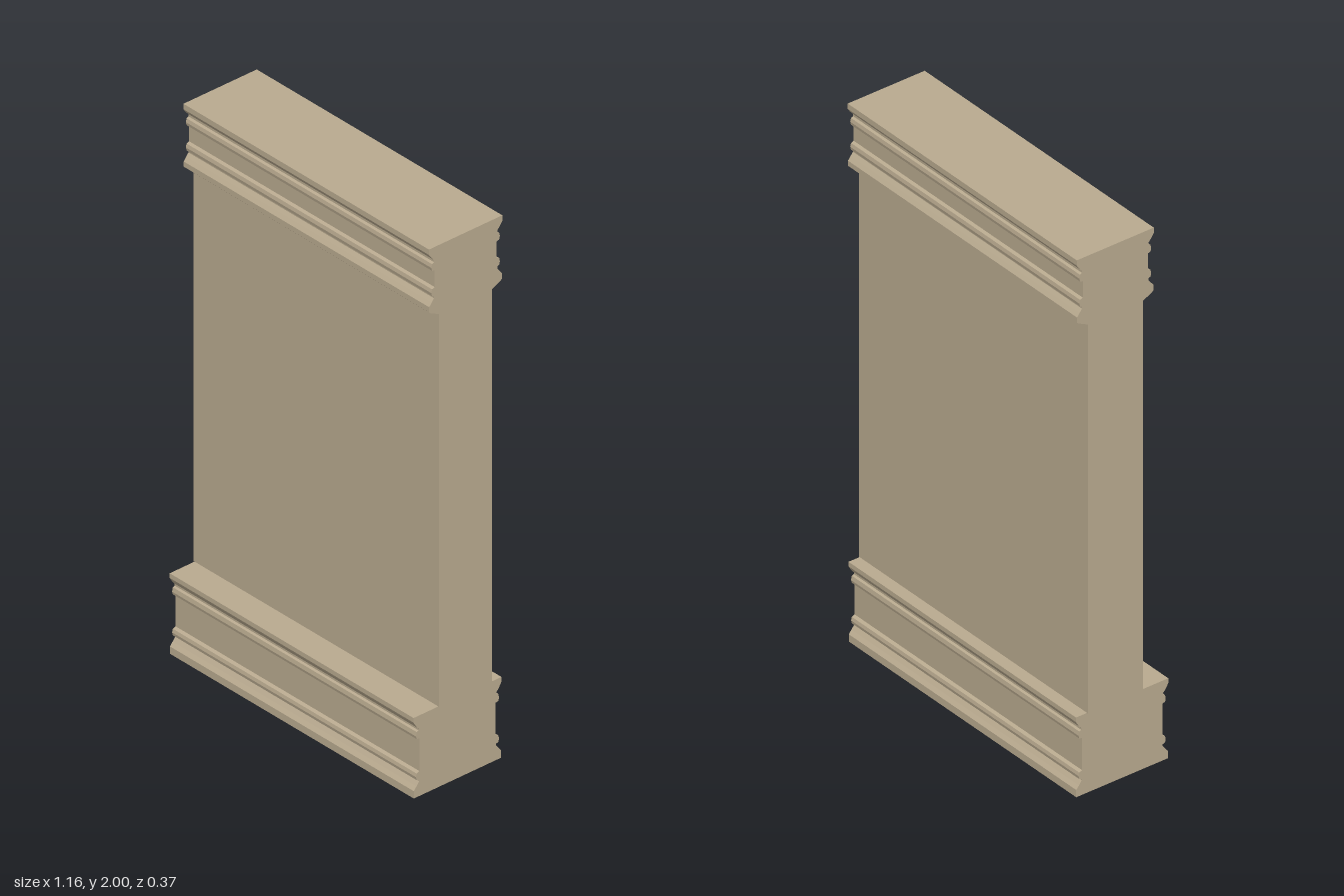
import * as THREE from 'three';

const stone = new THREE.MeshStandardMaterial({ color: 0xb9aa8f });
stone.name = 'sandstone';

// Moulding outlines as [projection from the fascia plane, height], bottom to top
const baseOutline = [
  [0.023, 0], [0.023, 0.027], [0.012, 0.04], [0.001, 0.055], [0.001, 0.06],
  [0.011, 0.063], [0.014, 0.075], [0.011, 0.087], [0, 0.092],
  [0, 0.212], [0.011, 0.214], [0.014, 0.225], [0.011, 0.24], [0.003, 0.243],
  [0.003, 0.25], [0.012, 0.26], [0.021, 0.274], [0.024, 0.28], [0.024, 0.297],
];
const capitalOutline = [
  [-0.018, 1.745], [0.018, 1.763], [0.023, 1.768], [0.023, 1.787], [0.013, 1.8],
  [0.003, 1.812], [0.003, 1.82], [0.011, 1.823], [0.014, 1.835], [0.011, 1.848], [0, 1.852],
  [0, 1.913], [0.011, 1.916], [0.014, 1.928], [0.011, 1.941], [0.003, 1.945],
  [0.003, 1.953], [0.013, 1.964], [0.021, 1.975], [0.024, 1.98], [0.024, 2],
];

// Mirrors an outline onto the front and back planes and runs it across the width
function moulding(name, outline, front, back, width) {
  const points = [
    ...outline.map(([d, y]) => new THREE.Vector2(front + d, y)),
    ...outline.map(([d, y]) => new THREE.Vector2(back - d, y)).reverse(),
  ];
  const geometry = new THREE.ExtrudeGeometry(new THREE.Shape(points), { depth: width, bevelEnabled: false });
  geometry.translate(0, 0, -width / 2);
  geometry.rotateY(-Math.PI / 2); // outline x becomes z
  const mesh = new THREE.Mesh(geometry, stone);
  mesh.name = name;
  return mesh;
}

export function createModel() {
  const model = new THREE.Group();
  model.name = 'pilaster';

  // Moulded plinth and capital
  model.add(moulding('base', baseOutline, 0.16, -0.16, 1.15));
  model.add(moulding('capital', capitalOutline, 0.099, -0.16, 1.158));

  // Plain shaft, set back from the front
  const shaft = new THREE.Mesh(new THREE.BoxGeometry(1.158, 1.45, 0.22), stone);
  shaft.name = 'shaft';
  shaft.position.set(0, 1.021, -0.03);
  model.add(shaft);

  return model;
}
